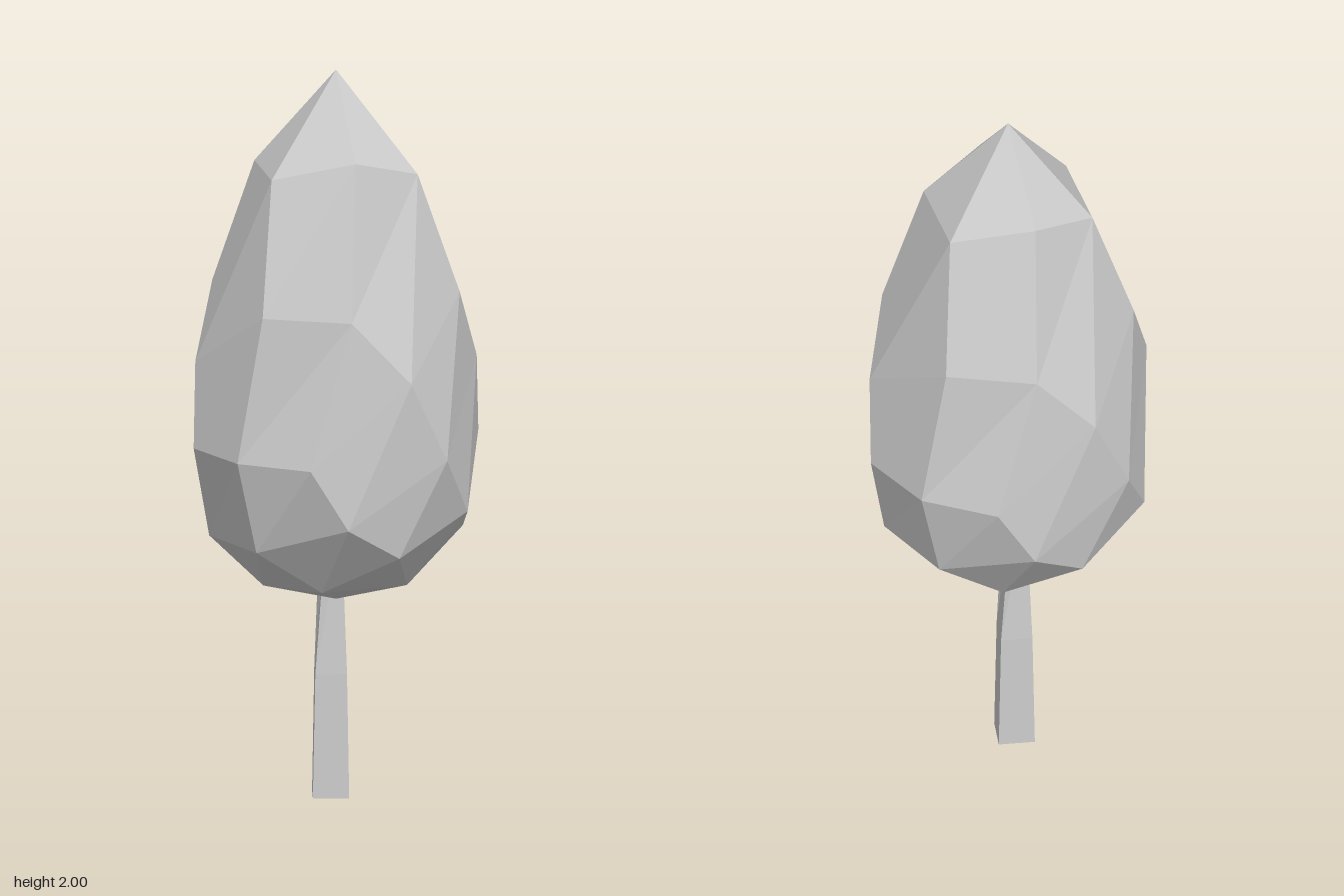
import * as THREE from 'three';

// Move every vertex by a rule: (height) => { y, scale, turn in degrees }
function reshape(geometry, rule) {
  const p = geometry.attributes.position;
  for (let i = 0; i < p.count; i++) {
    const { y, scale, turn } = rule(p.getY(i));
    const a = Math.atan2(p.getZ(i), p.getX(i)) + THREE.MathUtils.degToRad(turn);
    const r = Math.hypot(p.getX(i), p.getZ(i)) * scale;
    p.setXYZ(i, r * Math.cos(a), y, r * Math.sin(a));
  }
  geometry.computeVertexNormals();
  return geometry;
}

export function createModel() {
  const tree = new THREE.Group();
  tree.name = 'tree';
  const material = new THREE.MeshStandardMaterial({ color: 0xcccccc, flatShading: true });

  // Foliage: faceted ball, drawn out towards the tip and twisted around its height
  const foliage = new THREE.Mesh(
    reshape(new THREE.IcosahedronGeometry(1, 1), (s) => {
      const y = 0.985 + 0.62 * s + 0.2875 * s * s + 0.1075 * s ** 3;
      return { y, scale: 0.398, turn: 156.5 - 70 * (y - 0.985) };
    }),
    material
  );
  foliage.name = 'foliage';

  // Trunk: four-sided, in two tapering lengths, the upper one slightly twisted
  const rings = [
    { y: 0, scale: 0.0687, turn: 68.7 },
    { y: 0.34, scale: 0.06, turn: 68 },
    { y: 0.75, scale: 0.031, turn: 47 },
  ];
  const trunk = new THREE.Mesh(
    reshape(new THREE.CylinderGeometry(1, 1, 2, 4, 2), (s) => rings[Math.round(s) + 1]),
    material
  );
  trunk.name = 'trunk';
  trunk.position.z = -0.034;

  tree.add(foliage, trunk);
  return tree;
}
